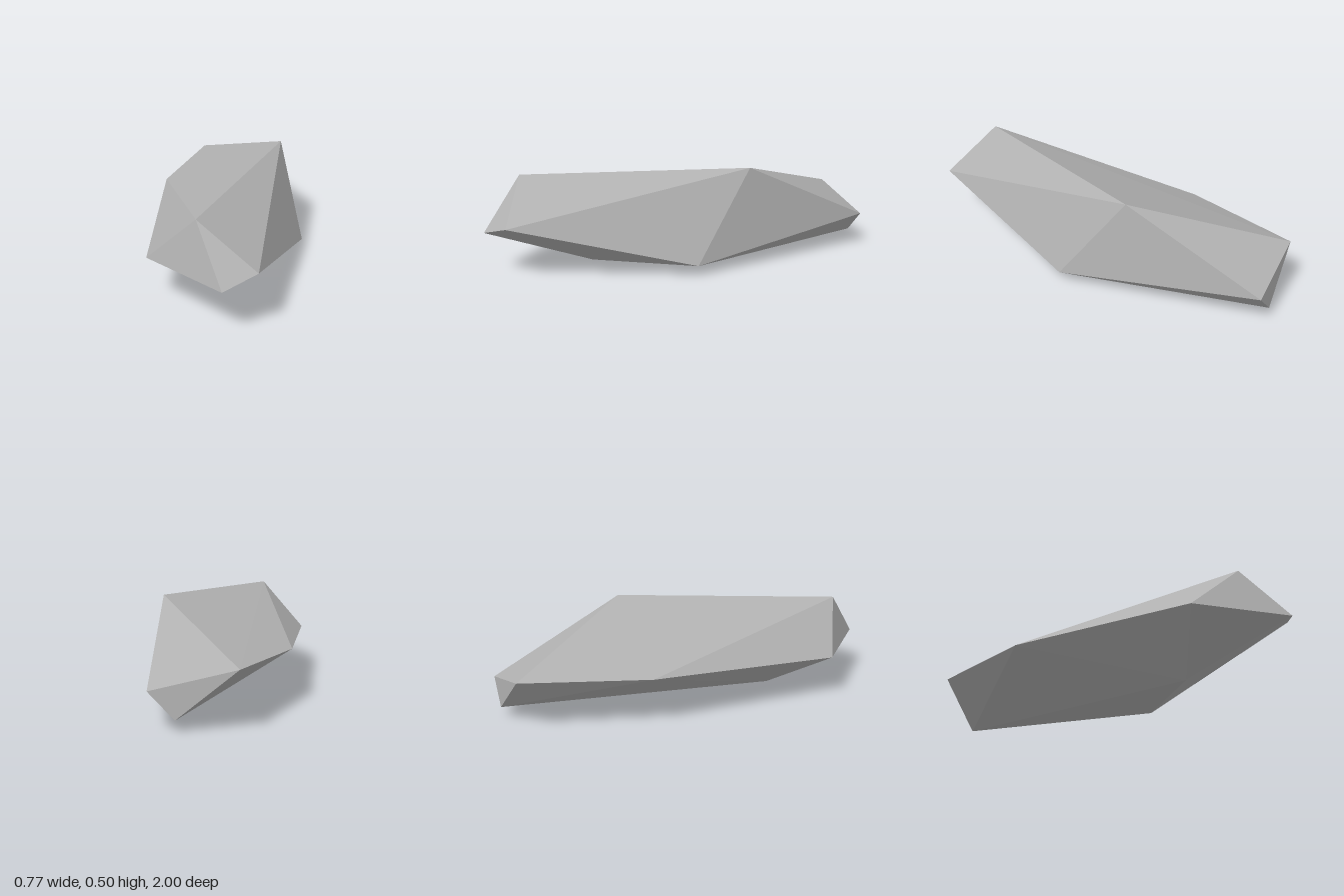
import * as THREE from 'three';
import { ConvexGeometry } from 'three/addons/geometries/ConvexGeometry.js';

export function createModel() {
  const group = new THREE.Group();
  group.name = 'rock';

  const stone = new THREE.MeshStandardMaterial({ color: 0xb0b0b0 });
  stone.name = 'grey stone';

  // Corners of the faceted stone, from the front tip to the back end
  const corners = [
    [0.055, 0.217, 1.0], // front tip
    [0.205, 0.27, 0.91],
    [-0.077, 0.465, 0.8], // front of the top ridge
    [-0.325, 0.217, 0.67],
    [-0.01, 0, 0.45], // lowest point
    [0.385, 0.055, 0],
    [0.255, 0.5, -0.31], // highest point
    [-0.385, 0.255, -0.33],
    [-0.24, 0.27, -0.955],
    [0.15, 0.172, -1.0], // back end
    [0.03, 0.05, -0.995],
  ].map((c) => new THREE.Vector3(...c));

  // Flat-faced hull around the corners
  const body = new THREE.Mesh(new ConvexGeometry(corners), stone);
  body.name = 'stoneBody';
  group.add(body);

  return group;
}
